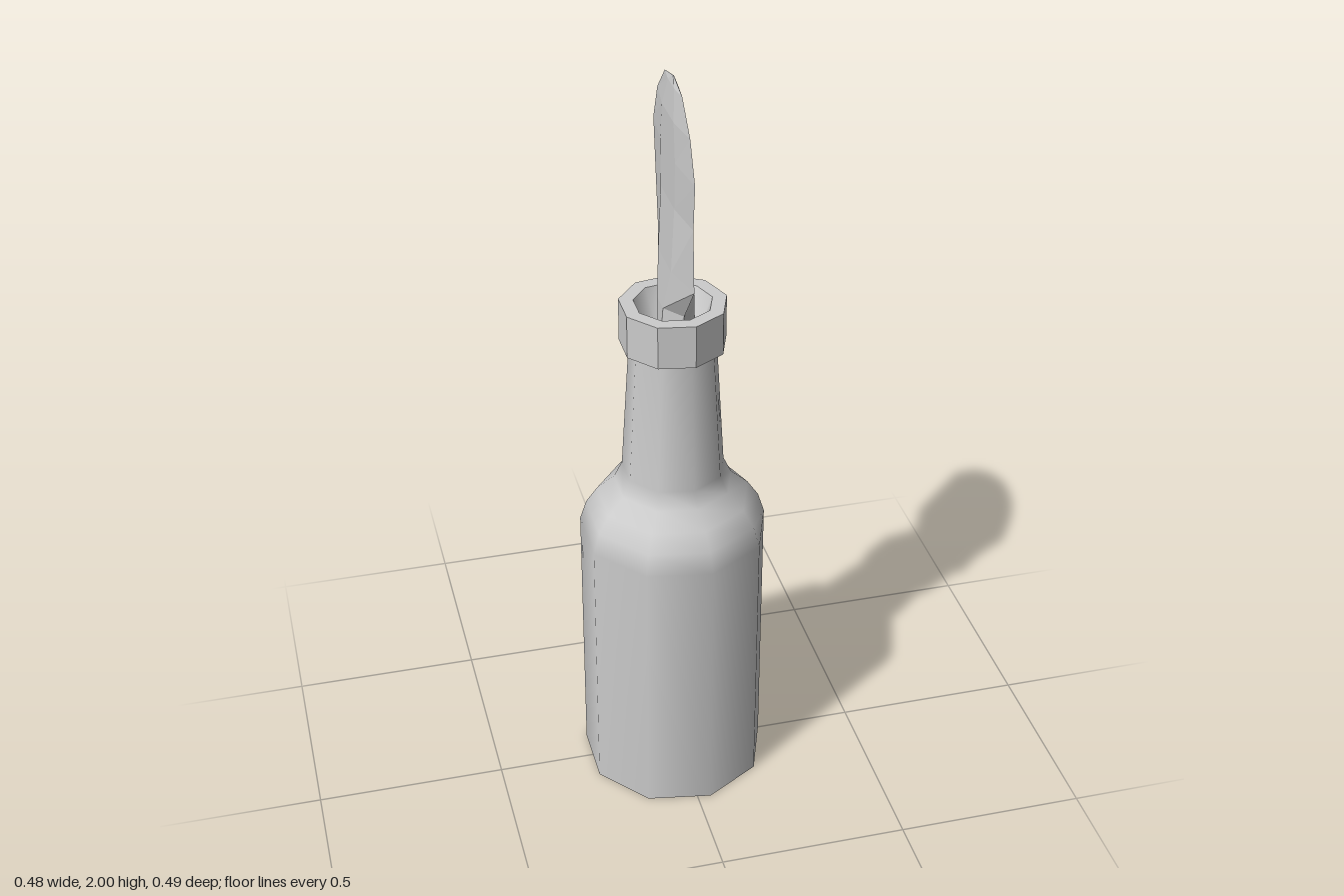
import * as THREE from 'three';

const SIDES = 9;
const AXIS_X = -0.0075; // keeps the nine-sided outline centred on x

const smooth = new THREE.MeshStandardMaterial({ color: 0xcccccc });
const faceted = new THREE.MeshStandardMaterial({ color: 0xcccccc, flatShading: true, side: THREE.DoubleSide });

function part(name, geometry, material) {
  const mesh = new THREE.Mesh(geometry, material);
  mesh.name = name;
  return mesh;
}

// Turned part with one corner pointing to +x
function turned(points) {
  const profile = points.map(([r, y]) => new THREE.Vector2(r, y));
  return new THREE.LatheGeometry(profile, SIDES, Math.PI / 2);
}

// Flat cloth with sharp edges, lofted through six-cornered sections
function clothGeometry() {
  // height, back z, front z, half thickness
  const levels = [
    [1.3, -0.045, 0.045, 0.045], [1.415, -0.09, 0.08, 0.04], [1.53, -0.185, 0.175, 0.028],
    [1.69, -0.21, 0.164, 0.016], [1.81, -0.228, 0.177, 0.015], [1.907, -0.185, 0.132, 0.014],
    [1.98, -0.11, 0.058, 0.006], [2.0, -0.028, -0.024, 0.001],
  ];
  const positions = [];
  const indices = [];
  for (const [y, back, front, t] of levels) {
    const inset = (front - back) * 0.32;
    const section = [
      [0, front], [t, front - inset], [t, back + inset],
      [0, back], [-t, back + inset], [-t, front - inset],
    ];
    for (const [x, z] of section) positions.push(x, y, z);
  }
  for (let i = 0; i < levels.length - 1; i++) {
    for (let j = 0; j < 6; j++) {
      const a = i * 6 + j;
      const b = i * 6 + (j + 1) % 6;
      indices.push(a, b, b + 6, a, b + 6, a + 6);
    }
  }
  // End caps
  const last = (levels.length - 1) * 6;
  for (let j = 1; j < 5; j++) {
    indices.push(0, j + 1, j, last, last + j, last + j + 1);
  }
  const geometry = new THREE.BufferGeometry();
  geometry.setAttribute('position', new THREE.Float32BufferAttribute(positions, 3));
  geometry.setIndex(indices);
  geometry.computeVertexNormals();
  return geometry;
}

export function createModel() {
  const model = new THREE.Group();
  model.name = 'bottleWithCloth';

  // Body, shoulder and neck
  const bottle = new THREE.Group();
  bottle.name = 'bottle';
  bottle.position.x = AXIS_X;
  bottle.add(part('bottleBody', turned([
    [0.2475, 0], [0.2475, 0.75], [0.23, 0.805], [0.2, 0.85],
    [0.155, 0.89], [0.134, 0.935], [0.112, 1.3],
  ]), smooth));

  // Base
  const base = new THREE.CircleGeometry(0.2475, SIDES);
  base.rotateX(Math.PI / 2);
  bottle.add(part('bottleBase', base, smooth));

  // Collar around the mouth, and the hollow inside it
  bottle.add(part('collar', turned([
    [0.1, 1.3], [0.137, 1.3], [0.137, 1.415], [0.1, 1.415],
  ]), faceted));
  bottle.add(part('mouth', turned([[0.1, 1.415], [0.06, 1.32], [0, 1.3]]), smooth));
  model.add(bottle);

  // Cloth standing in the mouth
  model.add(part('cloth', clothGeometry(), faceted));
  return model;
}
